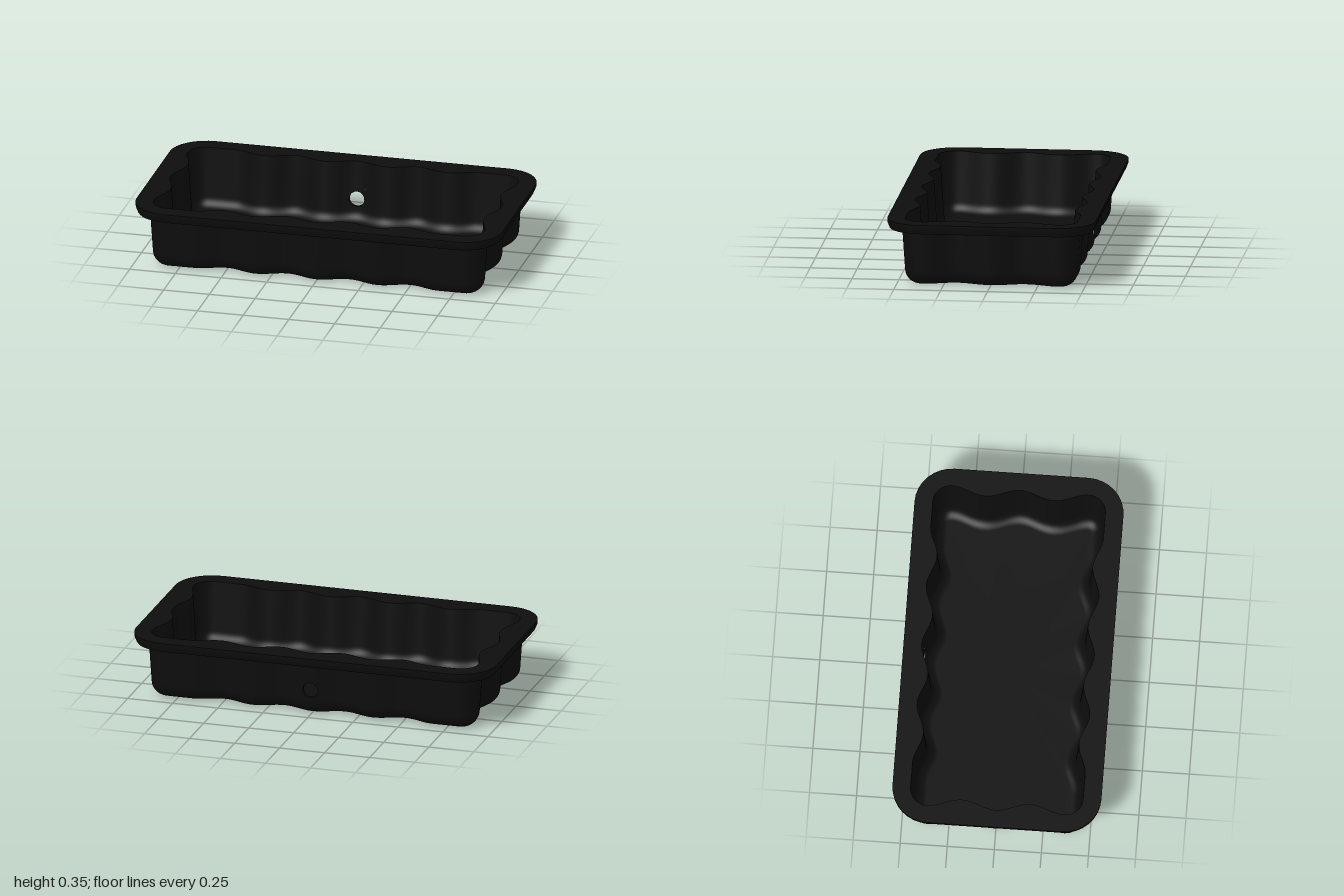
import * as THREE from 'three';

const WALL = 0.02;            // sheet thickness
const LONG = 108, SHORT = 48, ARC = 8;   // samples per side and corner
const HOLE = { y: 0.14, r: 0.042, half: 0.06 };

// Inward flutes: zero at the middle and beyond the end of the run
const flute = (s, period, run) =>
  Math.abs(s) > run ? 0 : 0.045 * (1 - Math.cos((2 * Math.PI * s) / period)) / 2;
const longFlute = (x) => flute(x, 1 / 3, 2 / 3);
const shortFlute = (z) => flute(z, 0.365, 0.365);

// Rounded rectangle loop at height y, starting along the back side
function ring(hx, hz, r, y, wavy) {
  const pts = [], lx = hx - r, lz = hz - r;
  const sides = [
    [lx, LONG, (s) => [s, -hz + (wavy ? longFlute(s) : 0)]],
    [lz, SHORT, (s) => [hx - (wavy ? shortFlute(s) : 0), s]],
    [lx, LONG, (s) => [-s, hz - (wavy ? longFlute(s) : 0)]],
    [lz, SHORT, (s) => [-hx + (wavy ? shortFlute(s) : 0), -s]],
  ];
  const corners = [[lx, -lz], [lx, lz], [-lx, lz], [-lx, -lz]];
  sides.forEach(([len, n, at], k) => {
    for (let i = 0; i <= n; i++) {
      const [x, z] = at(-len + (2 * len * i) / n);
      pts.push([x, y, z]);
    }
    for (let i = 1; i < ARC; i++) {
      const a = (k - 1 + i / ARC) * Math.PI / 2;
      pts.push([corners[k][0] + r * Math.cos(a), y, corners[k][1] + r * Math.sin(a)]);
    }
  });
  return pts;
}
const tubRing = (d, y) => ring(0.92 - d, 0.475 - d, 0.11 - d, y, true);
const rimRing = (d, y) => ring(1 - d, 0.555 - d, 0.2 - d, y, false);
const centre = (loop) => loop.map(([, y]) => [0, y, 0]);
const taper = (y) => 0.015 * (0.3 - y) / 0.22;

// Skin a list of equal closed loops
function skin(loops, skip = () => false) {
  const n = loops[0].length, index = [];
  for (let j = 0; j < loops.length - 1; j++) {
    for (let i = 0; i < n; i++) {
      if (skip(j, i)) continue;
      const a = j * n + i, b = j * n + (i + 1) % n, c = a + n, d = b + n;
      index.push(a, c, b, b, c, d);
    }
  }
  const g = new THREE.BufferGeometry();
  g.setAttribute('position', new THREE.Float32BufferAttribute(loops.flat(2), 3));
  g.setIndex(index);
  g.computeVertexNormals();
  return g;
}

// Floor, rounded foot and wall; "inset" moves it inward for the inner face
function tubLoops(inset, topY) {
  const r = 0.08 - inset, loops = [];
  for (let i = 0; i <= 8; i++) {
    const a = (i / 8) * Math.PI / 2;
    loops.push(tubRing(0.015 + inset + r * (1 - Math.sin(a)), 0.08 - r * Math.cos(a)));
  }
  for (const y of [HOLE.y + HOLE.half, topY]) loops.push(tubRing(taper(y) + inset, y));
  return [centre(loops[0]), ...loops];
}

// Loop around the drain hole lying on the back wall; t = 0 circle, t = 1 square
function holeLoop(t, inset) {
  return Array.from({ length: 32 }, (_, i) => {
    const a = (i / 32) * Math.PI * 2, c = Math.cos(a), s = Math.sin(a);
    const square = HOLE.half / Math.max(Math.abs(c), Math.abs(s));
    const rad = HOLE.r + (square - HOLE.r) * t;
    const x = rad * c, y = HOLE.y + rad * s;
    return [x, y, -(0.475 - taper(y) - inset) + longFlute(x)];
  });
}

export function createModel() {
  const black = new THREE.MeshStandardMaterial({ color: 0x0d0d0d });
  black.name = 'black plastic';
  const tray = new THREE.Group();
  tray.name = 'tray';
  const add = (name, geometry) => {
    const mesh = new THREE.Mesh(geometry, black);
    mesh.name = name;
    tray.add(mesh);
  };

  // Opening left in the back wall for the hole patch
  const first = LONG / 2 - 4;
  const outer = tubLoops(0, 0.3), inner = tubLoops(WALL, 0.35);
  const opening = (j, i) => j === 9 && i >= first && i < first + 8;
  add('outerTub', skin(outer, opening));
  add('innerTub', skin(inner.slice().reverse(), (j, i) => opening(inner.length - 2 - j, i)));

  // Flat rim with a slightly tucked lower edge
  add('rimUnderside', skin([outer.at(-1), rimRing(0.013, 0.3)]));
  add('rimEdge', skin([rimRing(0.013, 0.3), rimRing(0.009, 0.31), rimRing(0.001, 0.33), rimRing(0, 0.35)]));
  add('rimTop', skin([rimRing(0, 0.35), inner.at(-1)]));

  // Drain hole
  const steps = [0, 0.5, 1];
  add('holeInnerFace', skin(steps.map((t) => holeLoop(t, WALL))));
  add('holeOuterFace', skin(steps.map((t) => holeLoop(1 - t, 0))));
  add('holeBore', skin([holeLoop(0, 0), holeLoop(0, WALL)]));
  return tray;
}
